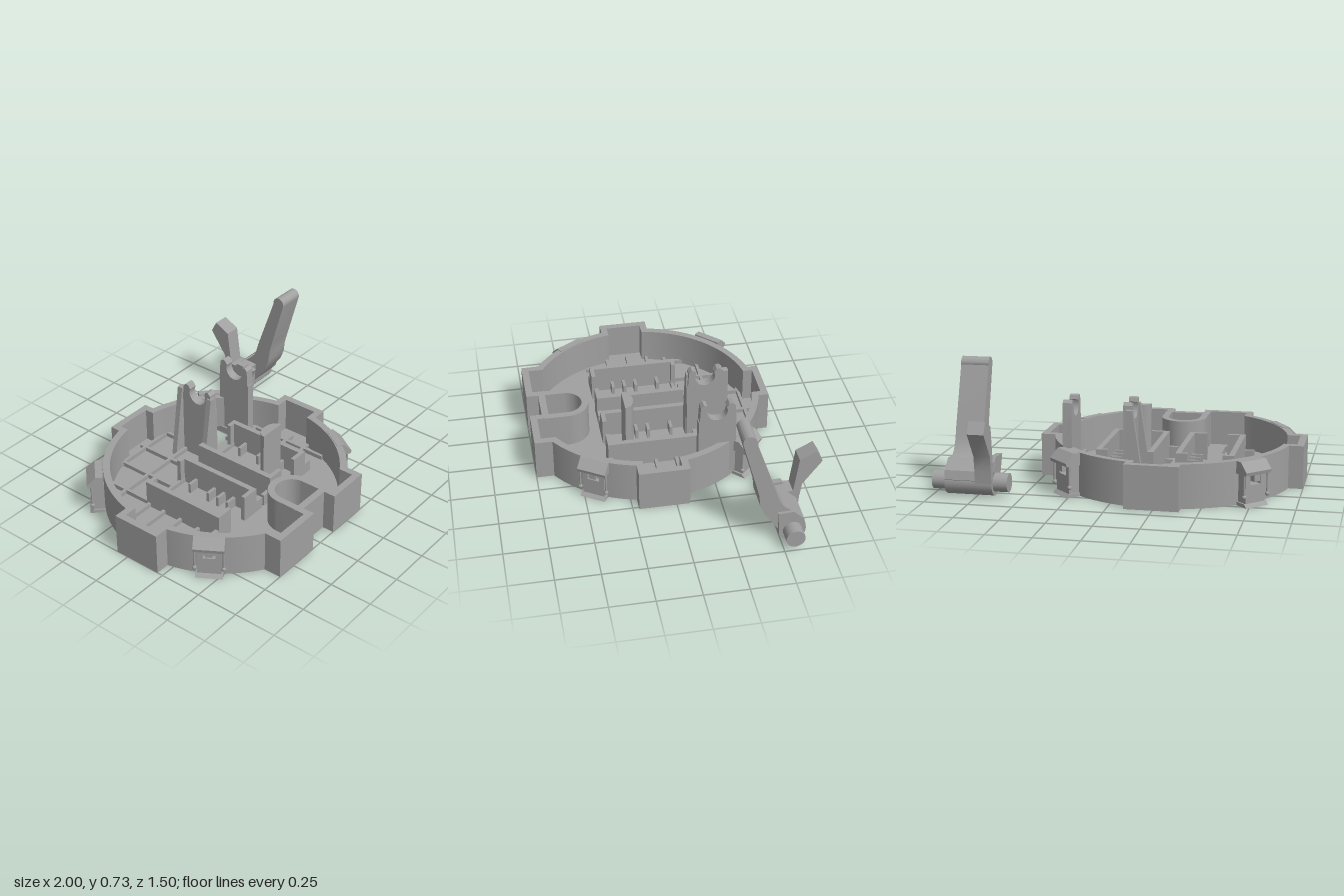
import * as THREE from 'three';
import { toCreasedNormals } from 'three/addons/utils/BufferGeometryUtils.js';

const grey = new THREE.MeshStandardMaterial({ color: 0xa0a0a0 });
grey.name = 'plain grey';
const CX = -0.2425, CZ = 0.07, R = 0.69, FLOOR = 0.04, RIM = 0.247;

function add(parent, name, geo) {
  const mesh = new THREE.Mesh(geo, grey);
  mesh.name = name;
  parent.add(mesh);
  return mesh;
}

// box given by its limits
function box(parent, name, x0, x1, y0, y1, z0, z1) {
  const m = add(parent, name, new THREE.BoxGeometry(x1 - x0, y1 - y0, z1 - z0));
  m.position.set((x0 + x1) / 2, (y0 + y1) / 2, (z0 + z1) / 2);
  return m;
}

const toShape = (pts) => new THREE.Shape(pts.map(([a, b]) => new THREE.Vector2(a, b)));
const extrude = (shape, depth) => toCreasedNormals(
  new THREE.ExtrudeGeometry(shape, { depth, bevelEnabled: false, curveSegments: 20 }), 0.5);

// plan shape (x, -z) raised from y0 to y1
const raise = (shape, y0, y1) => extrude(shape, y1 - y0).rotateX(-Math.PI / 2).translate(0, y0, 0);
// side profile (-z, y) swept from x0 to x1
const sweepX = (shape, x0, x1) => extrude(shape, x1 - x0).rotateY(Math.PI / 2).translate(x0, 0, 0);

// housing outline moved inwards by d: a circle with four tab groups
function outline(d) {
  const r = R - d, pts = [];
  const put = (x, z) => pts.push([x, -z]);
  const arc = (a, b) => {
    for (let i = 0; i <= 20; i++) {
      const t = a + (b - a) * i / 20;
      put(CX + r * Math.cos(t), CZ + r * Math.sin(t));
    }
  };
  const side = Math.asin((0.145 - d) / r);
  const back = Math.acos((0.15 - d) / r);
  const front = Math.acos((0.3775 - d) / r);
  arc(front, side);
  put(0.515 - d, CZ + 0.145 - d);
  put(0.515 - d, CZ - 0.145 + d);
  arc(-side, -back);
  put(CX + 0.15 - d, -0.665 + d);
  put(CX - 0.15 + d, -0.665 + d);
  arc(-Math.PI + back, -Math.PI + side);
  put(-1 + d, CZ - 0.145 + d);
  put(-1 + d, CZ + 0.145 - d);
  arc(-Math.PI - side, -Math.PI - front);
  put(-0.62 + d, 0.75 - d);
  put(-0.32 - d, 0.75 - d);
  put(-0.32 - d, 0.68 - d);
  put(-0.13 + d, 0.68 - d);
  put(-0.13 + d, 0.75 - d);
  put(0.135 - d, 0.75 - d);
  return pts;
}

// U-shaped plan, round towards the back
function arch(r, z1) {
  const s = new THREE.Shape();
  s.moveTo(CX + 0.02 - r, -z1);
  s.lineTo(CX + 0.02 + r, -z1);
  s.absarc(CX + 0.02, -0.53, r, 0, Math.PI, false);
  return s;
}

function buildHousing(g) {
  const floor = toShape(outline(0));
  for (const [x0, x1, z0, z1] of [[-0.565, -0.46, 0.475, 0.66], [0.03, 0.135, 0.475, 0.66], [0.055, 0.25, -0.41, -0.245]]) {
    const x = Math.min(x1, 0.09 + (z0 < 0 ? 1 : 0.04));
    floor.holes.push(toShape([[x0, -z0], [x, -z0], [x, -z1], [x0, -z1]]));
  }
  add(g, 'floor', raise(floor, 0, FLOOR));
  const wall = toShape(outline(0));
  wall.holes.push(toShape(outline(0.04)));
  add(g, 'outerWall', raise(wall, FLOOR, RIM));
  const pocket = arch(0.135, 0.665);
  pocket.holes.push(arch(0.095, 0.642));
  add(g, 'archedPocket', raise(pocket, FLOOR, RIM));
}

function buildRibs(g) {
  const w = 0.009, top = 0.065;
  const alongZ = (x, z0, z1) => box(g, 'floorRib', x - w, x + w, FLOOR, top, z0, z1);
  const alongX = (z, x0, x1) => box(g, 'floorRib', x0, x1, FLOOR, top, z - w, z + w);
  const chord = (t) => Math.sqrt(0.66 * 0.66 - t * t);
  for (const x of [-0.8, -0.61, -0.42, -0.225, -0.03, 0.16, 0.35]) {
    const z0 = CZ - chord(x - CX);
    const z1 = (x === -0.8 || x === 0.35) ? 0.33 : x === -0.225 ? 0.25 : -0.17;
    if (x === 0.16) {
      alongZ(x, z0, -0.41);
      alongZ(x, -0.245, z1);
    } else alongZ(x, z0, z1);
  }
  for (const z of [-0.555, -0.36, -0.17]) {
    const h = chord(z - CZ);
    if (z === -0.36) {
      alongX(z, CX - h, 0.055);
      alongX(z, 0.25, CX + h);
    } else alongX(z, CX - h, CX + h);
  }
  for (const z of [-0.06, 0.06, 0.19]) {
    const h = chord(z - CZ);
    alongX(z, CX - h, -0.62);
    alongX(z, 0.165, CX + h);
    alongX(z, -0.29, -0.165);
  }
}

// two upright channels with end lips and inner stubs
function buildChannels(g) {
  for (const c of [-0.4575, 0]) {
    for (const s of [-1, 1]) {
      const span = (a, b) => [Math.min(c + s * a, c + s * b), Math.max(c + s * a, c + s * b)];
      box(g, 'channelWall', ...span(0.135, 0.167), FLOOR, 0.2, -0.19, 0.33);
      box(g, 'channelBackLip', ...span(0.1, 0.167), FLOOR, 0.2, -0.19, -0.165);
      box(g, 'channelFrontLip', ...span(0.06, 0.167), FLOOR, 0.2, 0.31, 0.335);
      box(g, 'channelFoot', ...span(0.16, 0.22), FLOOR, 0.11, 0.31, 0.335);
      for (const z of [-0.075, 0.06, 0.13, 0.2])
        box(g, 'channelStub', ...span(0.07, 0.14), FLOOR, 0.1, z - 0.009, z + 0.009);
    }
  }
  const half = new THREE.Shape();
  half.moveTo(-0.078, -0.22);
  half.lineTo(0.082, -0.22);
  half.absellipse(0.002, -0.22, 0.08, 0.057, 0, Math.PI, false);
  add(g, 'roundedPost', raise(half, FLOOR, 0.388));
}

// pair of saddle brackets that would carry the axle
function buildBrackets(g) {
  const s = toShape([[0.16, FLOOR], [0.375, FLOOR], [0.375, 0.4], [0.368, 0.5], [0.35, 0.517], [0.333, 0.512], [0.318, 0.49]]);
  s.absarc(0.265, 0.467, 0.058, 0.4, Math.PI - 0.4, true);
  for (const [a, b] of [[0.212, 0.49], [0.205, 0.512], [0.187, 0.517], [0.17, 0.5], [0.165, 0.4], [0.16, 0.4]]) s.lineTo(a, b);
  add(g, 'rightBracket', sweepX(s, -0.08, -0.03));
  add(g, 'leftBracket', sweepX(s, 0.26, 0.312));
  for (const z of [-0.405, -0.19]) {
    const gusset = toShape([[-0.155, FLOOR], [-0.05, FLOOR], [-0.05, 0.48], [-0.088, 0.48]]);
    add(g, 'bracketGusset', extrude(gusset, 0.032)).position.z = z;
  }
}

// latch clip on the outside wall: local x points outwards
function buildClip(g, angle, radius) {
  const clip = new THREE.Group();
  clip.name = 'latchClip';
  const cap = toShape([[-0.035, 0.18], [0.05, 0.18], [0.055, 0.2], [0.005, 0.25], [-0.035, 0.25]]);
  add(clip, 'clipCap', extrude(cap, 0.17)).position.z = -0.085;
  box(clip, 'clipPlate', -0.04, 0.025, 0, 0.12, -0.065, 0.065);
  box(clip, 'clipCatch', -0.035, 0.04, 0.14, 0.18, -0.02, 0.02);
  const foot = toShape([[-0.04, 0], [0.045, 0], [0.025, 0.02], [-0.04, 0.02]]);
  add(clip, 'clipFoot', extrude(foot, 0.15)).position.z = -0.075;
  for (const s of [-1, 1]) {
    box(clip, 'clipLeg', -0.04, 0.025, 0.1, 0.19, s * 0.05 - 0.015, s * 0.05 + 0.015);
    add(clip, 'clipRod', new THREE.CylinderGeometry(0.006, 0.006, 0.13, 10)).position.set(0.03, 0.125, s * 0.079);
    add(clip, 'clipBall', new THREE.SphereGeometry(0.013, 12, 8)).position.set(0.03, 0.06, s * 0.079);
  }
  clip.position.set(CX + radius * Math.cos(angle), 0, CZ + radius * Math.sin(angle));
  clip.rotation.y = -angle;
  g.add(clip);
}

// separate lever lying behind the housing
function buildLever(g) {
  const Y = 0.08, Z = -0.558;
  const rod = (name, r, x0, x1) => {
    const geo = new THREE.CylinderGeometry(r, r, x1 - x0, 32).rotateZ(Math.PI / 2);
    add(g, name, geo).position.set((x0 + x1) / 2, Y, Z);
  };
  rod('axle', 0.053, 0.57, 1);
  rod('hub', 0.075, 0.65, 0.92);

  const arm = toShape([[0.49, 0.07], [0.56, 0.06], [0.61, 0.14], [0.55, 0.205], [0.508, 0.235], [0.475, 0.29], [0.455, 0.36], [0.34, 0.69]]);
  arm.absarc(0.305, 0.695, 0.037, 0.1, Math.PI + 0.2, false);
  for (const [a, b] of [[0.352, 0.39], [0.368, 0.33], [0.376, 0.26], [0.4, 0.2]]) arm.lineTo(a, b);
  add(g, 'longArm', sweepX(arm, 0.743, 0.903));

  const short = toShape([[0.56, 0.05], [0.632, 0.07], [0.637, 0.16], [0.65, 0.245], [0.755, 0.39], [0.72, 0.457], [0.627, 0.41], [0.6, 0.2], [0.55, 0.2]]);
  add(g, 'shortArm', sweepX(short, 0.65, 0.744));

  const web = toShape([[0.485, 0.05], [0.6, 0.02], [0.632, 0.1], [0.62, 0.15], [0.56, 0.205], [0.475, 0.2]]);
  add(g, 'hubBlock', sweepX(web, 0.65, 0.92));
  const plate = toShape([[0.49, 0.05], [0.58, 0.03], [0.6, 0.15], [0.55, 0.22], [0.425, 0.21]]);
  add(g, 'hubCheek', sweepX(plate, 0.648, 0.682));
}

export function createModel() {
  const model = new THREE.Group();
  model.name = 'clipHousingWithLever';
  const part = (name, build) => {
    const g = new THREE.Group();
    g.name = name;
    build(g);
    model.add(g);
  };
  part('housing', buildHousing);
  part('floorRibs', buildRibs);
  part('channels', buildChannels);
  part('axleBrackets', buildBrackets);
  part('latchClips', (g) => {
    for (const side of [0, 1]) {
      const turn = (a) => side ? Math.PI - a : a;
      buildClip(g, turn(-Math.PI / 4), 0.73);
      buildClip(g, turn(0.56), 0.69);
    }
  });
  part('lever', buildLever);
  return model;
}
